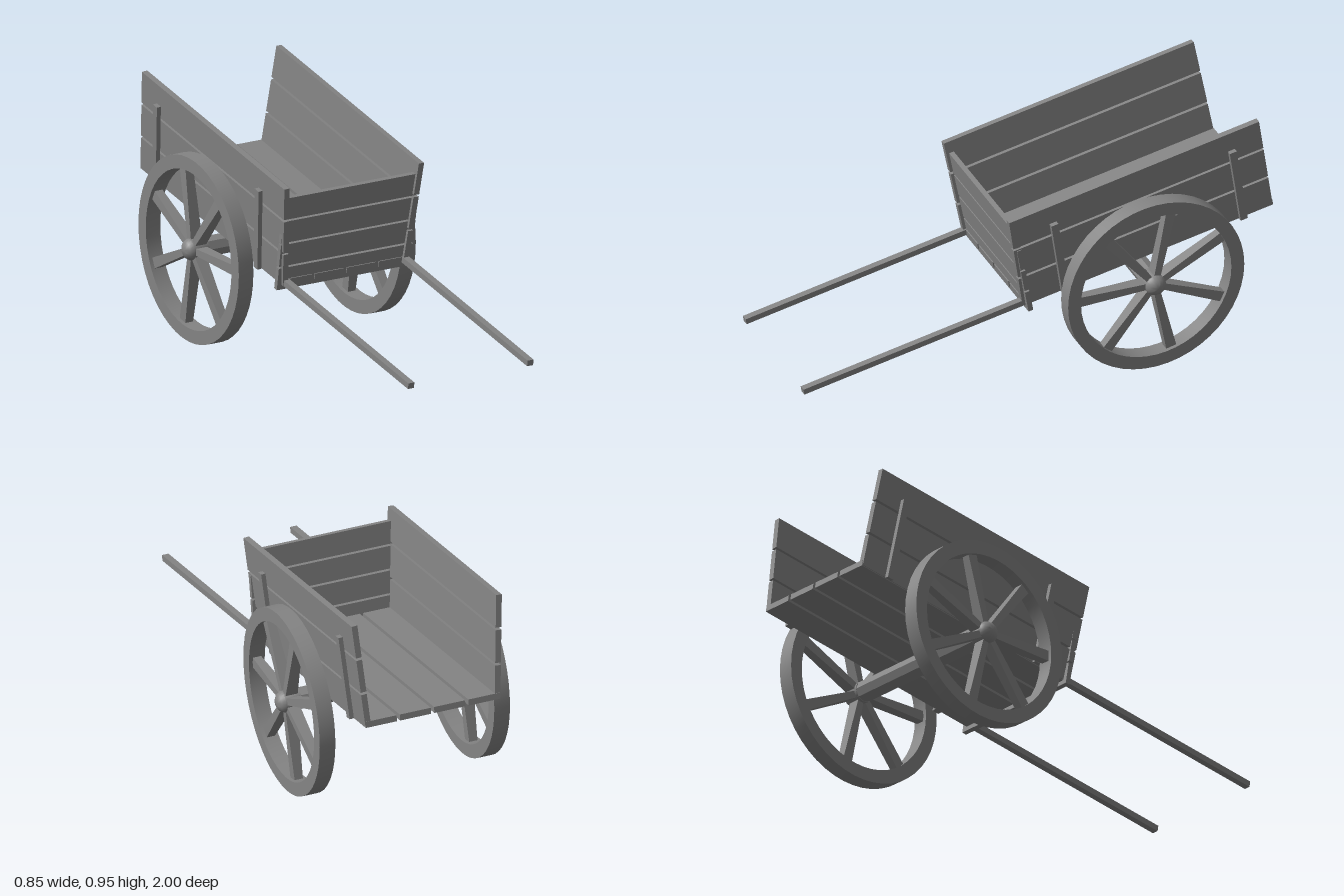
import * as THREE from 'three';
import { toCreasedNormals } from 'three/addons/utils/BufferGeometryUtils.js';

const mat = new THREE.MeshStandardMaterial({ color: 0x848484 });

function add(parent, name, geo, x = 0, y = 0, z = 0) {
  const m = new THREE.Mesh(geo, mat);
  m.name = name;
  m.position.set(x, y, z);
  parent.add(m);
  return m;
}
const box = (w, h, d) => new THREE.BoxGeometry(w, h, d);

// Solid of revolution about the x axis, from [radius, x] points
function turned(points, sides) {
  const g = new THREE.LatheGeometry(points.map(p => new THREE.Vector2(p[0], p[1])), sides);
  g.rotateZ(-Math.PI / 2);
  return toCreasedNormals(g, 0.6);
}

// Spoke along +y: narrow across and deep at the hub, wider and shallower at the rim
function spokeGeometry(r0, r1) {
  const g = box(1, r1 - r0, 1);
  g.translate(0, (r0 + r1) / 2, 0);
  const p = g.attributes.position;
  for (let i = 0; i < p.count; i++) {
    const outer = p.getY(i) > (r0 + r1) / 2;
    p.setX(i, p.getX(i) * (outer ? 0.034 : 0.052));
    p.setZ(i, p.getZ(i) * (outer ? 0.044 : 0.026));
  }
  g.computeVertexNormals();
  return g;
}

function makeWheel(side) {
  const R = 0.375, r = 0.32, h = 0.033;
  const wheel = new THREE.Group();
  wheel.name = side > 0 ? 'leftWheel' : 'rightWheel';
  add(wheel, 'rim', turned([[r, -h], [R, -h], [R, h], [r, h], [r, -h]], 48));
  const geo = spokeGeometry(0.02, r + 0.01);
  for (let i = 0; i < 7; i++) {
    add(wheel, 'spoke', geo).rotation.x = Math.PI / 2 + i * Math.PI * 2 / 7;
  }
  // Domed hub cap
  const hub = turned([[0, -0.036], [0.043, -0.036], [0.043, 0.03], [0.034, 0.045], [0.018, 0.055], [0, 0.057]], 20);
  add(wheel, 'hub', hub).rotation.y = side > 0 ? 0 : Math.PI;
  wheel.position.x = side * 0.368;
  return wheel;
}

export function createModel() {
  const cart = new THREE.Group();
  cart.name = 'handCart';

  // Wheels on a faceted axle
  const running = new THREE.Group();
  running.name = 'runningGear';
  running.position.set(0, 0.375, -0.446);
  cart.add(running);
  running.add(makeWheel(1), makeWheel(-1));
  add(running, 'axle', turned([[0, -0.34], [0.043, -0.34], [0.043, 0.34], [0, 0.34]], 8));

  // Tipped body
  const body = new THREE.Group();
  body.name = 'body';
  body.position.set(0, 0.374, -0.443);
  body.rotation.x = THREE.MathUtils.degToRad(9.55);
  cart.add(body);

  // Floor boards
  for (let i = 0; i < 4; i++) {
    add(body, 'floorBoard', box(0.131, 0.025, 1.073), (i - 1.5) * 0.1445, 0.0745, -0.0365);
  }

  // Front boards
  for (let i = 0; i < 4; i++) {
    add(body, 'frontBoard', box(i === 3 ? 0.59 : 0.609, 0.093, 0.02), 0, 0.09 + i * 0.1015, 0.486);
  }

  for (const s of [1, -1]) {
    // Leaning side: three planks held by two outer stakes; the left one leans a little less
    const sidePanel = new THREE.Group();
    sidePanel.name = s > 0 ? 'leftSide' : 'rightSide';
    sidePanel.position.set(s > 0 ? 0.271 : -0.274, 0.066, 0);
    sidePanel.rotation.z = s > 0 ? -0.066 : 0.085;
    body.add(sidePanel);
    for (let i = 0; i < 3; i++) {
      add(sidePanel, 'sidePlank', box(0.024, 0.135, 1.079), 0, 0.0675 + i * 0.1455, -0.0315);
    }
    for (const z of [0.33, -0.44]) {
      add(sidePanel, 'stake', box(0.018, 0.345, 0.03), s * 0.021, 0.17, z);
    }
    // Pulling shaft
    add(body, 'shaft', box(0.027, 0.024, 0.965), s * 0.27, 0.076, 0.968);
  }
  return cart;
}
